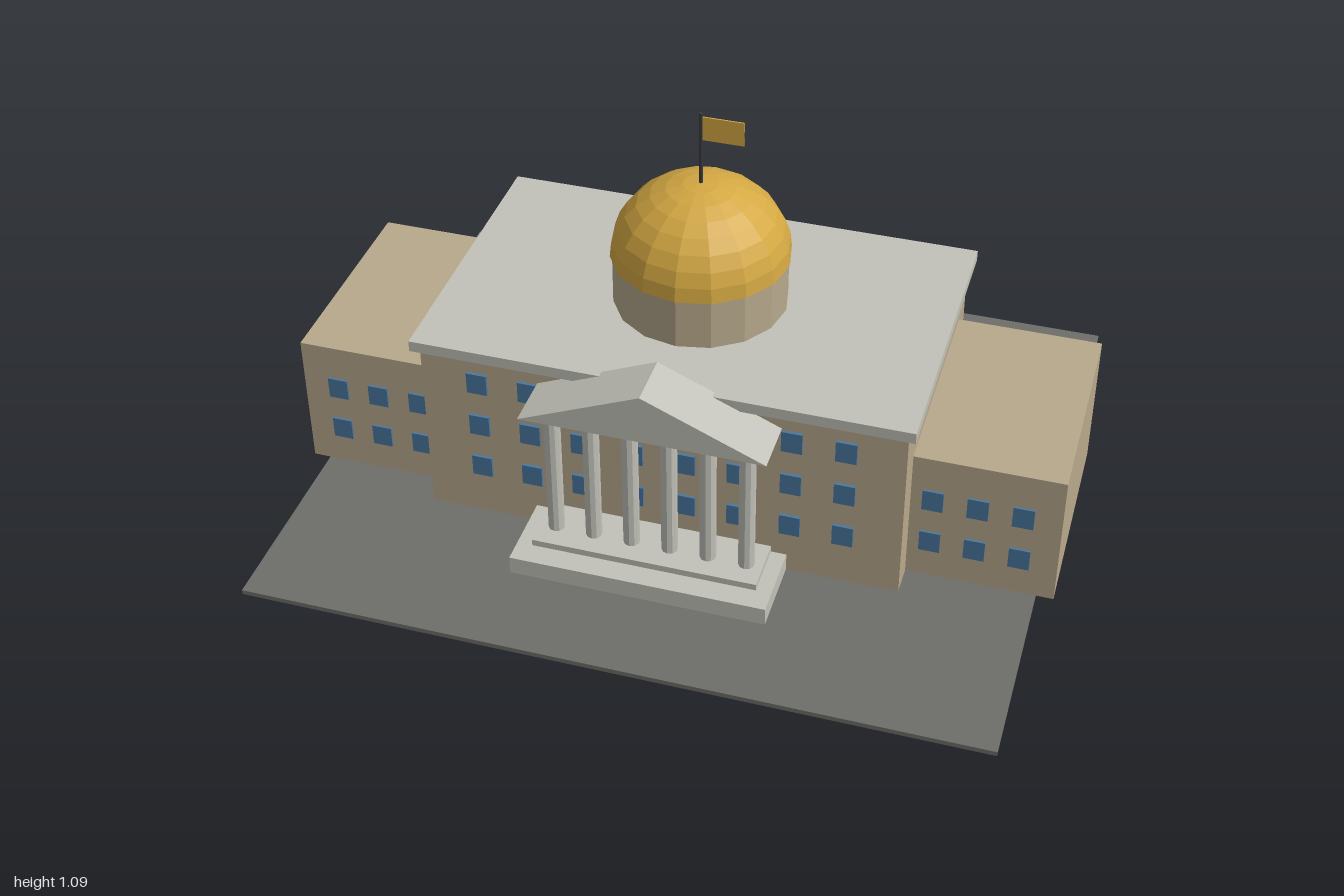
import * as THREE from 'three';

export function createModel() {
  const mat = (name, color, extra = {}) => {
    const m = new THREE.MeshStandardMaterial({ color, ...extra });
    m.name = name;
    return m;
  };
  const wall = mat('tan wall', 0xb8a98c, { flatShading: true });
  const stone = mat('pale stone', 0xc2c2ba, { flatShading: true });
  const gold = mat('gold', 0xd4a843, { flatShading: true });
  const glass = mat('blue glass', 0x4a78a0);
  const paving = mat('grey paving', 0x6e6f69);
  const iron = mat('dark iron', 0x3a3a3e);

  const model = new THREE.Group();
  model.name = 'domedCivicBuilding';

  const add = (name, geometry, material, x = 0, y = 0, z = 0) => {
    const mesh = new THREE.Mesh(geometry, material);
    mesh.name = name;
    mesh.position.set(x, y, z);
    model.add(mesh);
    return mesh;
  };
  // Box given by its lower and upper limits on each axis
  const block = (name, material, [x0, x1], [y0, y1], [z0, z1]) =>
    add(name, new THREE.BoxGeometry(x1 - x0, y1 - y0, z1 - z0), material,
      (x0 + x1) / 2, (y0 + y1) / 2, (z0 + z1) / 2);

  // Ground, main block and roof slab
  const G = 0.013;
  block('ground', paving, [-0.955, 0.955], [0, G], [-0.83, 0.83]);
  block('mainBlock', wall, [-0.623, 0.623], [G, 0.513], [-0.373, 0.373]);
  block('roofSlab', stone, [-0.643, 0.643], [0.513, 0.543], [-0.393, 0.393]);

  // Side wings
  block('leftWing', wall, [0.62, 1], [G, 0.388], [-0.291, 0.291]);
  block('rightWing', wall, [-1, -0.62], [G, 0.388], [-0.291, 0.291]);

  // Windows, mirrored about the centre
  const pane = new THREE.BoxGeometry(0.053, 0.06, 0.009);
  for (const side of [-1, 1]) {
    for (const y of [0.167, 0.301, 0.434])
      for (let i = 0; i < 4; i++)
        add('mainWindow', pane, glass, side * (0.068 + i * 0.1355), y, 0.3765);
    for (const y of [0.127, 0.26])
      for (let i = 0; i < 3; i++)
        add('wingWindow', pane, glass, side * (0.679 + i * 0.1125), y, 0.2925);
  }

  // Portico steps, columns and pediment
  block('lowerStep', stone, [-0.333, 0.333], [G, 0.063], [0.37, 0.58]);
  block('upperStep', stone, [-0.293, 0.293], [0.063, 0.081], [0.37, 0.52]);
  const column = new THREE.CylinderGeometry(0.021, 0.021, 0.39, 10);
  for (let i = 0; i < 6; i++) add('column', column, stone, -0.25 + i * 0.1, 0.275, 0.452);
  const gable = new THREE.Shape([
    new THREE.Vector2(-0.313, 0.47), new THREE.Vector2(0.313, 0.47), new THREE.Vector2(0, 0.605),
  ]);
  add('pediment', new THREE.ExtrudeGeometry(gable, { depth: 0.146, bevelEnabled: false }),
    stone, 0, 0, 0.375);

  // Drum and dome
  add('drum', new THREE.CylinderGeometry(0.225, 0.225, 0.14, 16), wall, 0, 0.613, 0);
  const dome = new THREE.SphereGeometry(0.231, 16, 8, 0, Math.PI * 2, 0, Math.PI / 2);
  dome.scale(1, 0.89, 1);
  add('dome', dome, gold, 0, 0.681, 0);
  const rim = new THREE.CircleGeometry(0.231, 16);
  rim.rotateX(Math.PI / 2);
  add('domeUnderside', rim, gold, 0, 0.681, 0);

  // Flagpole and flag
  add('flagpole', new THREE.CylinderGeometry(0.005, 0.005, 0.205, 6), iron, 0, 0.983, 0);
  block('flag', gold, [0.004, 0.109], [1.01, 1.075], [-0.002, 0.002]);

  return model;
}
